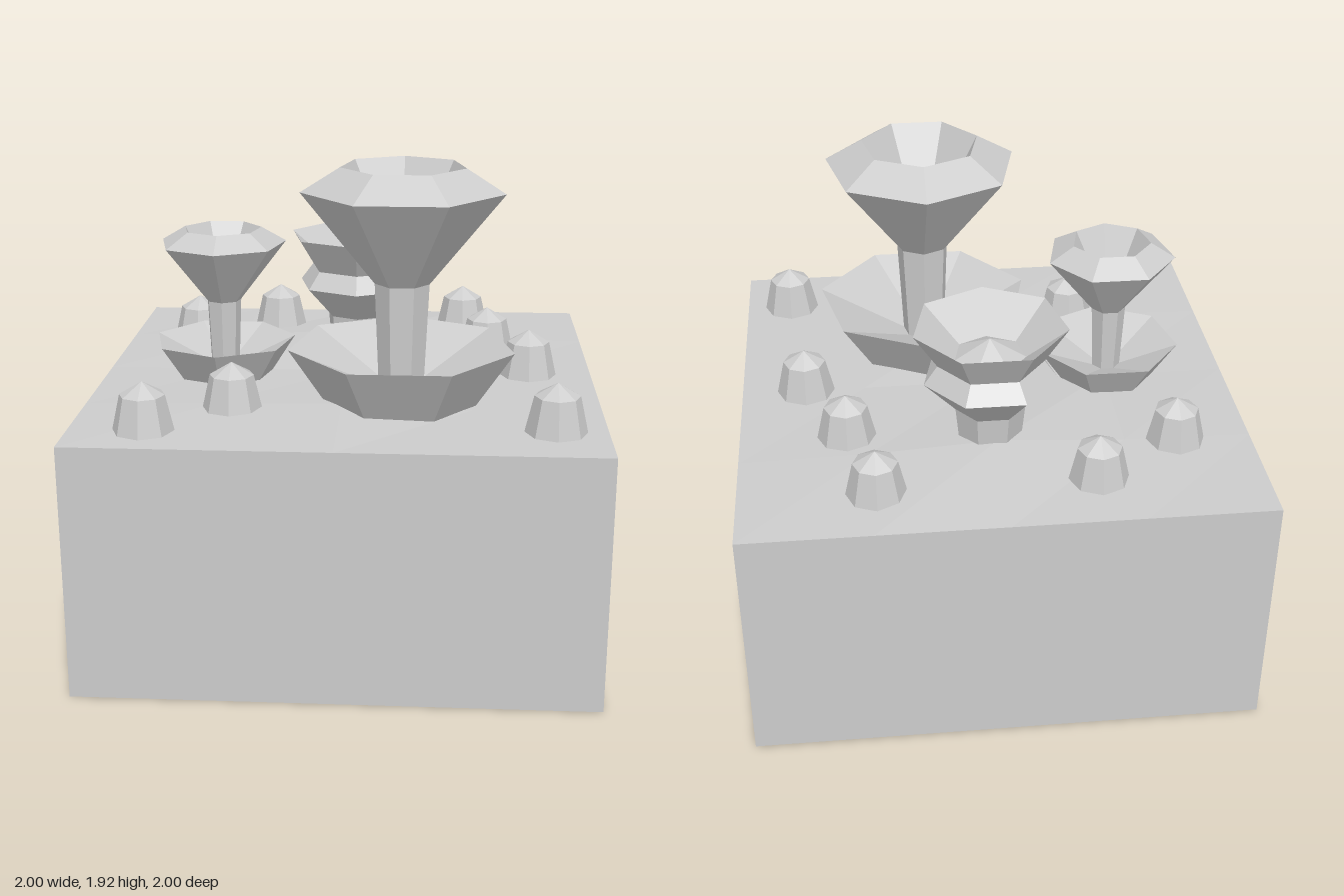
import * as THREE from 'three';

const grey = new THREE.MeshStandardMaterial({ color: 0xcccccc, flatShading: true });
grey.name = 'stone grey';

// Faceted turned shape from [radius, height] pairs, standing on the block top
function turned(name, profile, sides, x, z, scale = 1, turn = 0) {
  const points = profile.map(([r, y]) => new THREE.Vector2(r, y));
  const mesh = new THREE.Mesh(new THREE.LatheGeometry(points, sides), grey);
  mesh.name = name;
  mesh.position.set(x, 1, z);
  mesh.scale.setScalar(scale);
  mesh.rotation.y = turn;
  return mesh;
}

// Ground block with a gently uneven top; its outer edge stays level
function groundBlock() {
  const geo = new THREE.BoxGeometry(2, 1, 2, 4, 1, 4);
  const bumps = { '0,-0.5': 0.04, '0,0.5': 0.02, '-0.5,0.5': 0.01, '0.5,-0.5': 0.01, '-0.5,-0.5': 0.01 };
  const p = geo.attributes.position;
  for (let i = 0; i < p.count; i++) {
    const lift = bumps[`${p.getX(i) + 0},${p.getZ(i) + 0}`] ?? 0;
    if (p.getY(i) > 0) p.setY(i, 0.5 + lift);
  }
  geo.computeVertexNormals();
  const mesh = new THREE.Mesh(geo, grey);
  mesh.name = 'groundBlock';
  mesh.position.y = 0.5;
  return mesh;
}

export function createModel() {
  const model = new THREE.Group();
  model.name = 'mushroomBlock';
  model.add(groundBlock());

  // Tall plants: open bowl, slim stem and a funnel cap
  const funnel = [
    [0, 0], [0.3, 0], [0.446, 0.22], [0.09, 0.06], [0.108, 0.47],
    [0.395, 0.83], [0.243, 0.92], [0, 0.47],
  ];
  model.add(turned('largeFunnelPlant', funnel, 7, 0.225, 0.37, 1, Math.PI));
  model.add(turned('smallFunnelPlant', funnel, 7, -0.515, 0.04, 0.66));

  // Short plant: thick stem, collar and a wide cup with a raised centre
  const cup = [
    [0, 0], [0.125, 0], [0.14, 0.15], [0.265, 0.285], [0.21, 0.357],
    [0.302, 0.5], [0.14, 0.37], [0, 0.44],
  ];
  model.add(turned('cupPlant', cup, 7, 0.02, -0.4));

  // Scattered pointed buds
  const bud = [[0.117, 0], [0.085, 0.14], [0, 0.19]];
  const spots = [
    [-0.36, -0.73], [0.48, -0.745], [-0.7, -0.5], [0.58, -0.355],
    [0.74, 0.005], [-0.42, 0.535], [0.805, 0.73], [-0.715, 0.8],
  ];
  spots.forEach(([x, z], i) => model.add(turned(`bud${i + 1}`, bud, 8, x, z)));

  return model;
}
